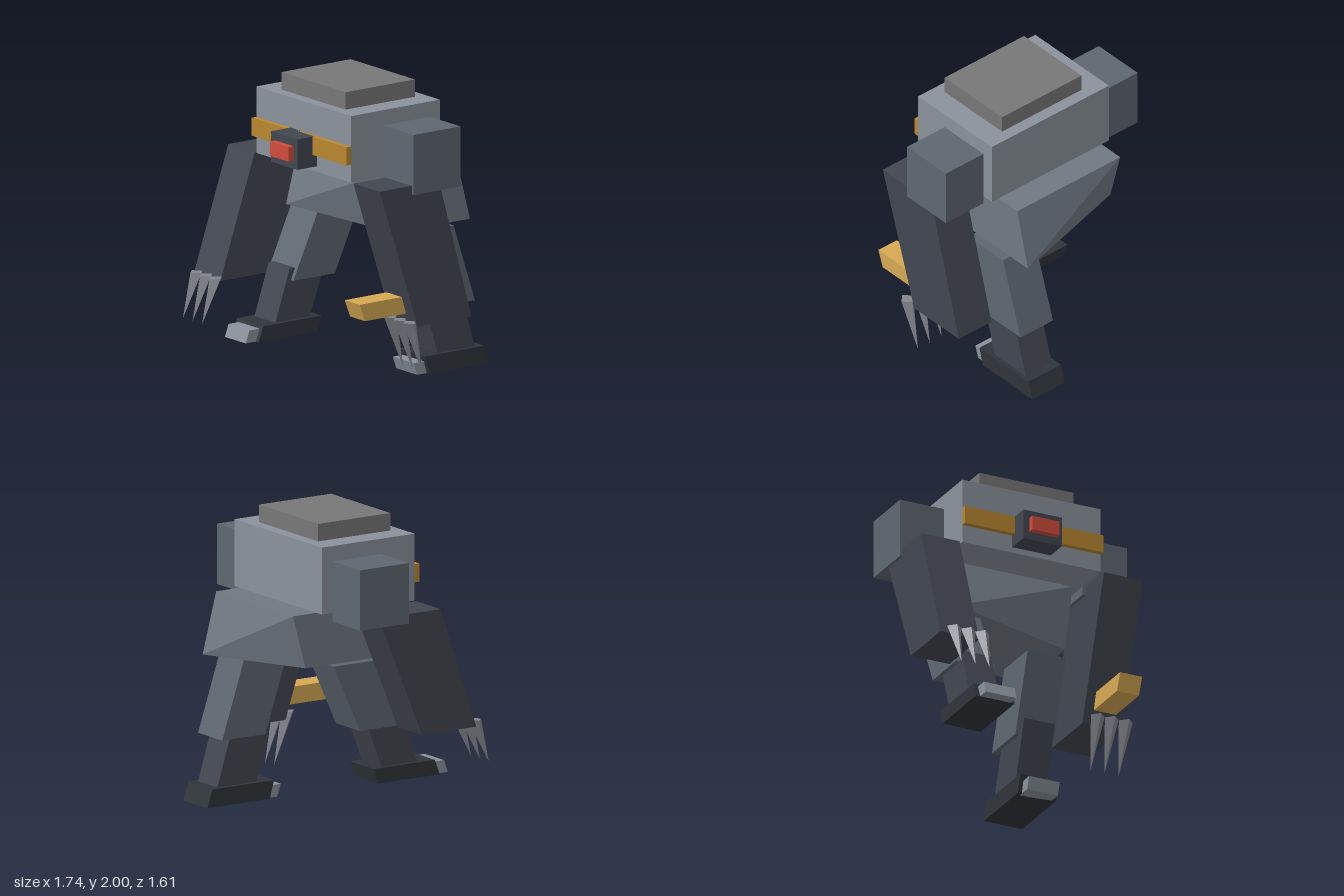
import * as THREE from 'three';

const COLORS = {
  hull: 0x8a929b, pelvis: 0x707982, joint: 0x5e6771, limb: 0x424650, foot: 0x30353b,
  plate: 0x777777, band: 0xb88731, red: 0xd04c3c, tool: 0xd6a954, claw: 0x83868e,
};

function addMesh(parent, name, geometry, color) {
  geometry.computeVertexNormals();
  const mesh = new THREE.Mesh(geometry, new THREE.MeshStandardMaterial({ color: COLORS[color], flatShading: true }));
  mesh.name = name;
  parent.add(mesh);
  return mesh;
}

// Box whose top and bottom faces have their own z range, so it can lean and taper
function block(parent, name, color, [x0, x1], [y0, y1], top, bottom = top) {
  const geometry = new THREE.BoxGeometry(1, 1, 1);
  const p = geometry.attributes.position;
  for (let i = 0; i < p.count; i++) {
    const z = p.getY(i) > 0 ? top : bottom;
    p.setXYZ(i, p.getX(i) > 0 ? x1 : x0, p.getY(i) > 0 ? y1 : y0, p.getZ(i) > 0 ? z[1] : z[0]);
  }
  return addMesh(parent, name, geometry, color);
}

// Four-sided spike hanging from a base centre, with its tip leaning in z
function claw(parent, x, baseY, baseZ, tipY, tipZ) {
  const h = baseY - tipY;
  const geometry = new THREE.ConeGeometry(0.052, h, 4).rotateX(Math.PI).translate(x, tipY + h / 2, baseZ);
  const p = geometry.attributes.position;
  for (let i = 0; i < p.count; i++) {
    const t = (baseY - p.getY(i)) / h;
    p.setZ(i, p.getZ(i) + t * (tipZ - baseZ));
  }
  addMesh(parent, 'claw', geometry, 'claw');
}

function group(parent, name) {
  const g = new THREE.Group();
  g.name = name;
  parent.add(g);
  return g;
}

export function createModel() {
  const model = new THREE.Group();
  model.name = 'walkerRobot';

  // Body
  block(model, 'torso', 'hull', [-0.54, 0.5], [1.42, 1.88], [-0.39, 0.36]);
  block(model, 'topPlate', 'plate', [-0.37, 0.335], [1.88, 2], [-0.305, 0.28]);
  block(model, 'chestBand', 'band', [-0.54, 0.5], [1.545, 1.67], [0.36, 0.4]);
  block(model, 'sensorHousing', 'limb', [-0.165, 0.125], [1.46, 1.67], [0.36, 0.525]);
  block(model, 'sensorLens', 'red', [-0.12, 0.085], [1.515, 1.615], [0.525, 0.57]);

  // Pelvis: its lower face twists with the stride
  const pelvis = block(model, 'pelvis', 'pelvis', [-0.475, 0.44], [1, 1.42], [-0.58, 0.06], [-0.69, -0.05]);
  const p = pelvis.geometry.attributes.position;
  for (let i = 0; i < p.count; i++) {
    if (p.getX(i) < 0 && p.getY(i) < 1.2) {
      p.setY(i, 1.05);
      p.setZ(i, p.getZ(i) + 0.21);
    }
  }
  pelvis.geometry.computeVertexNormals();

  // Arms
  const arms = [
    { name: 'rightArm', shoulder: [-0.87, -0.54], x: [-0.85, -0.56], y: 0.575, bottom: [0.21, 0.65],
      claws: [-0.77, -0.665, -0.56], base: [0.605, 0.69], tip: [0.3, 0.805] },
    { name: 'leftArm', shoulder: [0.5, 0.835], x: [0.525, 0.815], y: 0.44, bottom: [-0.415, 0.04],
      claws: [0.605, 0.71, 0.815], base: [0.48, 0.11], tip: [0.115, 0] },
  ];
  for (const a of arms) {
    const arm = group(model, a.name);
    block(arm, 'shoulder', 'joint', a.shoulder, [1.36, 1.775], [-0.305, 0.09]);
    block(arm, 'forearm', 'limb', a.x, [a.y, 1.42], [-0.14, 0.36], a.bottom);
    for (const x of a.claws) claw(arm, x, ...a.base, ...a.tip);
  }
  block(model, 'armTool', 'tool', [0.585, 0.75], [0.525, 0.645], [0.125, 0.48], [0.09, 0.435]);

  // Legs: right one swings forward, left one trails
  const legs = [
    { name: 'rightLeg', x: -0.395, ground: 0.2, hip: 1.045, knee: 0.58, shinTop: 0.66, ankle: 0.305,
      thigh: [[-0.295, 0.055], [-0.08, 0.27]], shin: [[-0.02, 0.28], [0.11, 0.4]],
      foot: [[0.03, 0.525], [0.065, 0.565]], toe: [[0.5, 0.62], [0.53, 0.65]] },
    { name: 'leftLeg', x: 0.3575, ground: 0, hip: 0.99, knee: 0.45, shinTop: 0.545, ankle: 0.125,
      thigh: [[-0.505, -0.155], [-0.685, -0.335]], shin: [[-0.575, -0.265], [-0.705, -0.39]],
      foot: [[-0.765, -0.265], [-0.805, -0.3]], toe: [[-0.3, -0.19], [-0.33, -0.22]] },
  ];
  for (const l of legs) {
    const leg = group(model, l.name);
    const wide = [l.x - 0.144, l.x + 0.144];
    const slim = [l.x - 0.115, l.x + 0.115];
    block(leg, 'thigh', 'joint', wide, [l.knee, l.hip + 0.005], ...l.thigh);
    block(leg, 'shin', 'limb', slim, [l.ankle, l.shinTop], ...l.shin);
    block(leg, 'foot', 'foot', wide, [l.ground, l.ankle], ...l.foot);
    block(leg, 'toe', 'hull', slim, [l.ground, l.ground + 0.085], ...l.toe);
  }
  return model;
}
